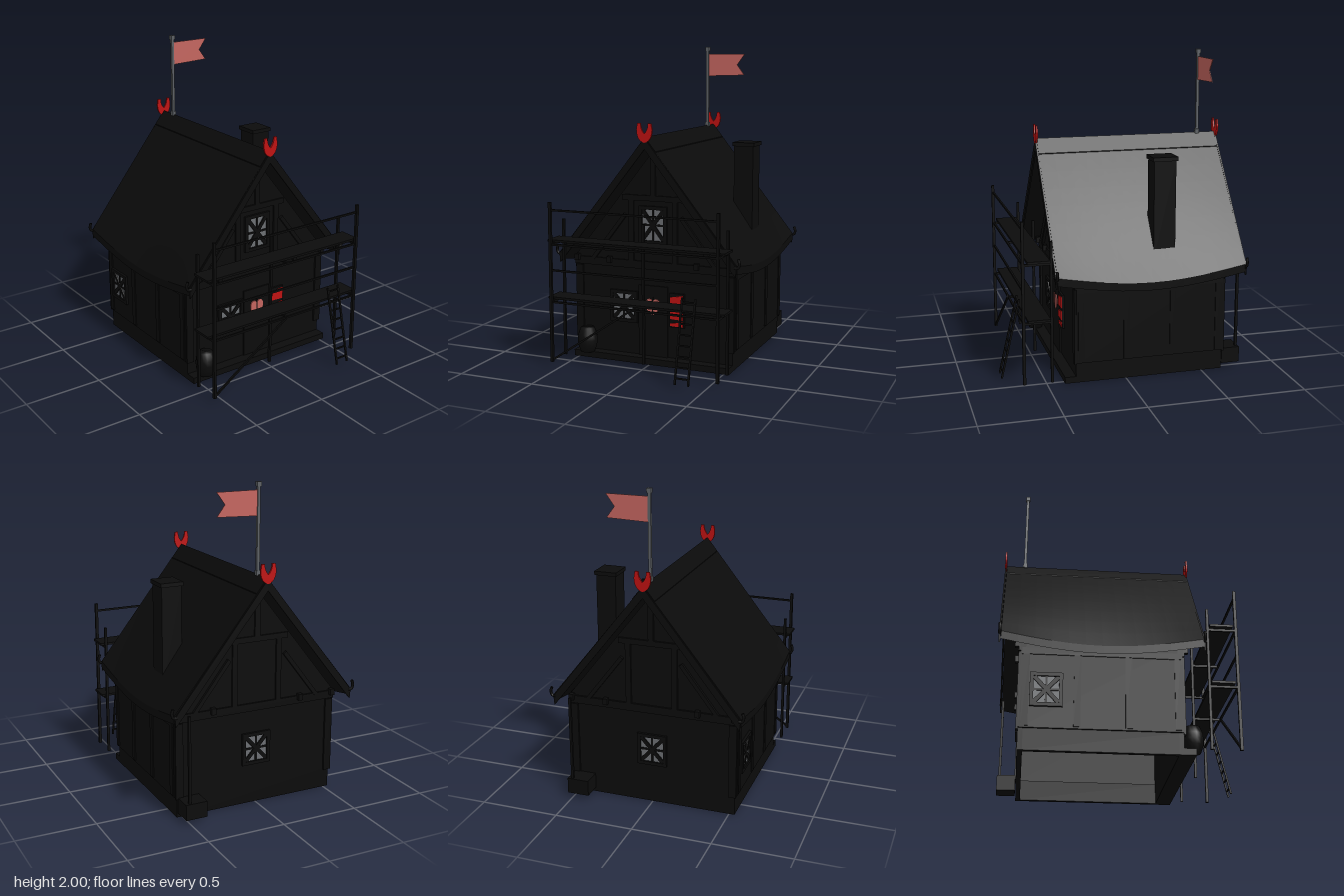
import * as THREE from 'three';

const material = (name, color) => {
  const m = new THREE.MeshStandardMaterial({ color, side: THREE.DoubleSide });
  m.name = name;
  return m;
};

export function createModel() {
  const model = new THREE.Group();
  model.name = 'timberHouse';
  const black = material('black', 0x0b0b0b);
  const red = material('red', 0xbe1212);
  const salmon = material('salmon', 0xc4655f);
  const glass = material('windowGrey', 0x6c6f73);
  const metal = material('poleGrey', 0x5c6064);

  const add = (name, geo, mat, parent = model) => {
    const m = new THREE.Mesh(geo, mat);
    m.name = name;
    parent.add(m);
    return m;
  };
  // Box given by its centre and size
  const box = (name, x, y, z, w, h, d, mat = black, parent = model) => {
    const m = add(name, new THREE.BoxGeometry(w, h, d), mat, parent);
    m.position.set(x, y, z);
    return m;
  };
  // Square bar between two points
  const bar = (name, a, b, t, parent = model) => {
    const p = new THREE.Vector3(...a), q = new THREE.Vector3(...b);
    const m = add(name, new THREE.BoxGeometry(t, t, p.distanceTo(q)), black, parent);
    m.position.copy(p).add(q).multiplyScalar(0.5);
    m.lookAt(q);
    return m;
  };
  const plate = (name, points, depth, z, mat, parent = model) => {
    const shape = new THREE.Shape(points.map(p => new THREE.Vector2(...p)));
    const m = add(name, new THREE.ExtrudeGeometry(shape, { depth, bevelEnabled: false }), mat, parent);
    m.position.z = z;
    return m;
  };

  // Wall shell, open underneath
  const gable = [[-0.535, 0], [0.535, 0], [0.535, 0.13], [0.55, 0.13], [0.55, 0.66],
    [0, 1.36], [-0.55, 0.66], [-0.55, 0.13], [-0.535, 0.13]];
  plate('frontWall', gable, 0.03, 0.29, black);
  plate('backWall', gable, 0.03, -0.635, black);
  for (const s of [-1, 1]) {
    box('sideFooting', s * 0.52, 0.065, -0.157, 0.03, 0.13, 0.93);
    box('sideWall', s * 0.535, 0.4, -0.157, 0.03, 0.54, 0.93);
    for (const z of [-0.6, -0.3, 0, 0.29]) box('sideTimber', s * 0.55, 0.38, z, 0.012, 0.48, 0.04);
    box('sideBeam', s * 0.55, 0.6, -0.157, 0.014, 0.04, 0.94);
  }
  box('frontSill', 0, 0.02, 0.35, 1.07, 0.04, 0.08);

  // Gable timbers and small brackets under the jetty beam
  for (const [wallZ, out] of [[0.32, 1], [-0.635, -1]]) {
    const z = wallZ + out * 0.005;
    box('gableBeam', 0, 0.63, z, 1.1, 0.05, 0.014);
    box('gableCollar', 0, 1.06, z, 0.42, 0.035, 0.014);
    box('kingPost', 0, 1.2, z, 0.035, 0.25, 0.014);
    for (const s of [-1, 1]) {
      box('cornerPost', s * 0.52, 0.36, z, 0.05, 0.48, 0.014);
      box('gablePost', s * 0.15, 0.85, z, 0.035, 0.42, 0.014);
      bar('gableBrace', [s * 0.42, 0.65, z], [s * 0.19, 0.95, z], 0.025);
      for (const x of [0.3, 0.53]) box('bracket', s * x, 0.65, wallZ + out * 0.02, 0.03, 0.04, 0.03);
    }
  }

  // Roof slopes with gently sagging eaves
  const roof = new THREE.Group();
  roof.name = 'roof';
  roof.position.z = -0.155;
  model.add(roof);
  for (const turn of [0, Math.PI]) {
    const g = new THREE.BoxGeometry(1, 0.05, 1.2, 8, 1, 12);
    const p = g.attributes.position;
    for (let i = 0; i < p.count; i++) {
      const t = p.getX(i) + 0.5, z = p.getZ(i);
      const sag = 0.07 * t ** 3 * Math.cos(z / 0.6 * Math.PI / 2);
      p.setXYZ(i, t * 0.6, 1.425 - 0.75 * t + p.getY(i) - sag, z);
    }
    g.computeVertexNormals();
    add('roofSlope', g, black, roof).rotation.y = turn;
  }
  const cap = plate('ridgeCap', [[0, 1.455], [0.07, 1.368], [0.07, 1.35], [0, 1.43], [-0.07, 1.35], [-0.07, 1.368]], 1.2, -0.6, black, roof);
  cap.position.z = -0.6;

  // Bargeboards with curled tips and red horned finials
  const horns = new THREE.Shape();
  horns.moveTo(0, 1.42);
  horns.quadraticCurveTo(0.05, 1.43, 0.052, 1.5);
  horns.lineTo(0.045, 1.54);
  horns.lineTo(0.025, 1.54);
  horns.quadraticCurveTo(0.025, 1.5, 0, 1.475);
  horns.quadraticCurveTo(-0.025, 1.5, -0.025, 1.54);
  horns.lineTo(-0.045, 1.54);
  horns.lineTo(-0.052, 1.5);
  horns.quadraticCurveTo(-0.05, 1.43, 0, 1.42);
  for (const z of [0.445, -0.767]) {
    for (const s of [-1, 1]) {
      plate('bargeboard', [[0, 1.45], [s * 0.6, 0.69], [s * 0.595, 0.63], [s * 0.57, 0.66], [0, 1.38]], 0.01, z, black);
      const curl = new THREE.CatmullRomCurve3([[0.585, 0.69], [0.608, 0.69], [0.618, 0.715], [0.61, 0.745]]
        .map(([x, y]) => new THREE.Vector3(s * x, y, z + 0.005)));
      add('bargeCurl', new THREE.TubeGeometry(curl, 10, 0.009, 6), black);
    }
    const finial = add('finial', new THREE.ExtrudeGeometry(horns, { depth: 0.012, bevelEnabled: false, curveSegments: 6 }), red);
    finial.position.z = z - 0.001;
  }

  // Chimney
  box('chimney', 0.42, 1.05, -0.26, 0.13, 0.62, 0.14);
  box('chimneyCap', 0.42, 1.37, -0.26, 0.148, 0.025, 0.16);

  // Flagpole and swallowtail flag
  box('flagpole', 0, 1.72, -0.635, 0.018, 0.54, 0.018, metal);
  box('poleFoot', 0, 1.462, -0.635, 0.028, 0.03, 0.028, metal);
  box('poleCap', 0, 1.986, -0.635, 0.028, 0.028, 0.028, metal);
  plate('flag', [[0.008, 1.8], [0.27, 1.808], [0.218, 1.878], [0.272, 1.952], [0.008, 1.952]], 0.005, -0.638, salmon);

  // Windows: pane through the wall, crossed glazing bars and frame, facing local +z
  const addWindow = (name, x, y, z, turn, w, h) => {
    const g = new THREE.Group();
    g.name = name;
    g.position.set(x, y, z);
    g.rotation.y = turn;
    model.add(g);
    box('pane', 0, 0, -0.014, w, h, 0.036, glass, g);
    box('mullion', 0, 0, -0.014, 0.013, h, 0.046, black, g);
    box('transom', 0, 0, -0.014, w, 0.013, 0.046, black, g);
    const a = Math.atan2(h, w);
    for (const s of [-1, 1]) {
      box('diagonalBar', 0, 0, 0.008, Math.hypot(w, h) - 0.01, 0.024, 0.008, black, g).rotation.z = s * a;
      box('frameSide', s * (w / 2 + 0.01), 0, 0.005, 0.022, h + 0.04, 0.022, black, g);
      box('frameRail', 0, s * (h / 2 + 0.01), 0.005, w + 0.04, 0.022, 0.022, black, g);
    }
    return g;
  };
  addWindow('frontWindow', -0.205, 0.35, 0.32, 0, 0.15, 0.165);
  const loft = addWindow('loftWindow', 0, 0.89, 0.32, 0, 0.15, 0.2);
  for (const s of [-1, 1]) {
    plate('loftCorner', [[s * 0.076, 0.101], [s * 0.045, 0.101], [s * 0.076, 0.06]], 0.006, 0.005, black, loft);
  }
  addWindow('backWindow', 0, 0.36, -0.635, Math.PI, 0.15, 0.165);
  addWindow('sideWindow', -0.55, 0.36, -0.48, -Math.PI / 2, 0.15, 0.165);

  // Door with heart, and a banded shutter
  box('door', 0, 0.27, 0.323, 0.2, 0.46, 0.014);
  const heart = new THREE.Shape();
  heart.moveTo(0, -0.055);
  heart.bezierCurveTo(0.025, -0.035, 0.05, -0.02, 0.05, 0.015);
  heart.bezierCurveTo(0.05, 0.055, 0.012, 0.06, 0, 0.035);
  heart.bezierCurveTo(-0.012, 0.06, -0.05, 0.055, -0.05, 0.015);
  heart.bezierCurveTo(-0.05, -0.02, -0.025, -0.035, 0, -0.055);
  add('doorHeart', new THREE.ExtrudeGeometry(heart, { depth: 0.006, bevelEnabled: false }), salmon).position.set(0, 0.365, 0.33);
  box('doorBar', 0, 0.37, 0.335, 0.008, 0.12, 0.006);
  box('shutter', 0.165, 0.355, 0.328, 0.1, 0.22, 0.014);
  for (const [y0, y1] of [[0.255, 0.285], [0.3, 0.36], [0.38, 0.455]]) {
    plate('shutterBand', [[0.122, y0], [0.208, y0 - 0.003], [0.208, y1], [0.122, y1 - 0.015]], 0.006, 0.335, red);
  }

  // Barrel by the front wall
  const stave = [[0, 0], [0.045, 0], [0.062, 0.045], [0.065, 0.08], [0.062, 0.115], [0.045, 0.16], [0, 0.16]];
  add('barrel', new THREE.LatheGeometry(stave.map(p => new THREE.Vector2(...p)), 14), black).position.set(-0.44, 0.04, 0.385);

  // Crate and post under the rear overhang
  box('crate', 0.46, 0.08, -0.7, 0.14, 0.1, 0.12);
  box('rearPost', 0.5, 0.4, -0.745, 0.016, 0.56, 0.016);

  // Scaffold
  const scaffold = new THREE.Group();
  scaffold.name = 'scaffold';
  model.add(scaffold);
  for (const x of [-0.555, 0, 0.555]) {
    box('innerPost', x, 0.475, 0.475, 0.016, 0.89, 0.016, black, scaffold);
    if (x) box('outerPost', x, 0.54, 0.648, 0.018, 1.02, 0.018, black, scaffold);
    for (const y of [0.417, 0.783]) box('bearer', x, y, 0.56, 0.014, 0.014, 0.175, black, scaffold);
  }
  for (const y of [0.437, 0.802]) box('platform', 0, y, 0.555, 1.175, 0.014, 0.14, black, scaffold);
  for (const y of [0.417, 0.62, 0.783, 1.0]) box('rail', 0, y, 0.645, 1.12, 0.012, 0.012, black, scaffold);
  bar('brace', [-0.555, 0.04, 0.648], [0, 0.42, 0.648], 0.012, scaffold);

  // Ladder
  for (const x of [0.33, 0.415]) bar('ladderRail', [x, 0.03, 0.765], [x, 0.53, 0.648], 0.011, scaffold);
  for (let i = 0; i < 8; i++) {
    const t = (i + 0.6) / 8;
    box('rung', 0.3725, 0.03 + 0.5 * t, 0.765 - 0.117 * t, 0.085, 0.009, 0.009, black, scaffold);
  }
  return model;
}
